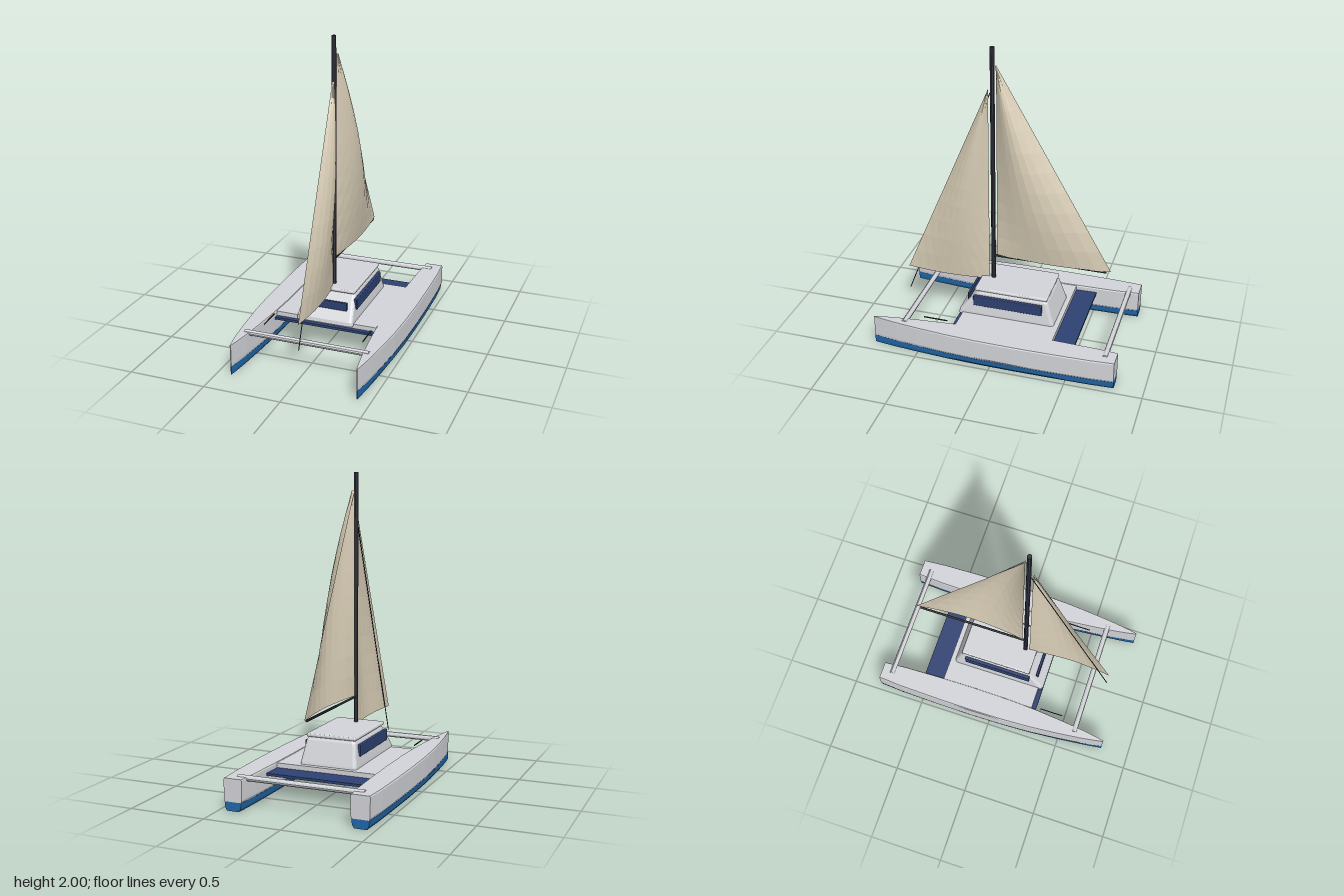
import * as THREE from 'three';
import { RoundedBoxGeometry } from 'three/addons/geometries/RoundedBoxGeometry.js';

const material = (name, color, extra = {}) => {
  const m = new THREE.MeshStandardMaterial({ color, ...extra });
  m.name = name;
  return m;
};

// Skins a list of closed rings (counter-clockwise seen along the loft) and caps both ends
function loft(rings) {
  const pos = [];
  const tri = (...pts) => pts.forEach((p) => pos.push(p.x, p.y, p.z));
  const n = rings[0].length;
  for (let i = 0; i < rings.length - 1; i++) {
    for (let j = 0; j < n; j++) {
      const k = (j + 1) % n;
      const a = rings[i][j], b = rings[i][k], c = rings[i + 1][k], d = rings[i + 1][j];
      tri(a, b, c);
      tri(a, c, d);
    }
  }
  const first = rings[0], last = rings[rings.length - 1];
  for (let j = 1; j < n - 1; j++) {
    tri(first[0], first[j + 1], first[j]);
    tri(last[0], last[j], last[j + 1]);
  }
  const g = new THREE.BufferGeometry();
  g.setAttribute('position', new THREE.Float32BufferAttribute(pos, 3));
  g.computeVertexNormals();
  return g;
}

// Hull plan: [z, half width]
const STATIONS = [[-0.81, 0.06], [-0.65, 0.072], [-0.4, 0.079], [-0.15, 0.082], [0.1, 0.078],
  [0.3, 0.068], [0.5, 0.049], [0.65, 0.031], [0.75, 0.015], [0.81, 0.003]];

// Section: [share of half width, y] from bottom to top, mirrored to a full ring
function hullGeometry(section) {
  return loft(STATIONS.map(([z, w]) => [
    ...section.map(([f, y]) => new THREE.Vector3(f * w, y, z)),
    ...section.slice().reverse().map(([f, y]) => new THREE.Vector3(-f * w, y, z)),
  ]));
}

// Horizontal rectangle with rounded corners
function roundedRing(hx, z0, z1, r, y) {
  const ring = [];
  const corners = [[hx - r, z0 + r], [-hx + r, z0 + r], [-hx + r, z1 - r], [hx - r, z1 - r]];
  corners.forEach(([cx, cz], q) => {
    for (let s = 0; s <= 3; s++) {
      const a = (q + s / 3) * Math.PI / 2;
      ring.push(new THREE.Vector3(cx + r * Math.cos(a), y, cz - r * Math.sin(a)));
    }
  });
  return ring;
}

// Triangular sail from the mast side to its outer corner, bellied towards +x
function sailGeometry(zMast, zOuter, yFoot, yHead, belly) {
  const g = new THREE.PlaneGeometry(1, 1, 8, 10);
  const p = g.attributes.position;
  for (let i = 0; i < p.count; i++) {
    const u = p.getX(i) + 0.5, v = p.getY(i) + 0.5;
    const x = belly * Math.sin(Math.PI * u) * Math.sin(Math.PI * (0.11 + 0.82 * v));
    p.setXYZ(i, x, yFoot + (yHead - yFoot) * v, zMast + (zOuter - zMast) * u * (1 - v));
  }
  g.computeVertexNormals();
  return g;
}

// Straight round bar between two points
function bar(a, b, radius, sides) {
  const from = new THREE.Vector3(...a), to = new THREE.Vector3(...b);
  const dir = to.clone().sub(from);
  const g = new THREE.CylinderGeometry(radius, radius, dir.length(), sides);
  g.applyQuaternion(new THREE.Quaternion().setFromUnitVectors(new THREE.Vector3(0, 1, 0), dir.normalize()));
  const mid = from.add(to).multiplyScalar(0.5);
  return g.translate(mid.x, mid.y, mid.z);
}

export function createModel() {
  const boat = new THREE.Group();
  boat.name = 'catamaran';

  const white = material('hullWhite', 0xd3d4d9, { flatShading: true });
  const blue = material('bottomBlue', 0x2267a8, { flatShading: true });
  const navy = material('navy', 0x2d4172, { flatShading: true });
  const spar = material('sparGrey', 0x34353f, { flatShading: true });
  const cloth = material('sailCloth', 0xd8cdb6, { flatShading: true, side: THREE.DoubleSide });

  const add = (name, geometry, mat, x = 0, y = 0, z = 0) => {
    const m = new THREE.Mesh(geometry, mat);
    m.name = name;
    m.position.set(x, y, z);
    boat.add(m);
    return m;
  };

  // Twin hulls with painted bottoms, deck-side rails and side windows
  const topsides = hullGeometry([[0.9, 0.056], [1, 0.07], [1, 0.192], [0.94, 0.2]]);
  const bottom = hullGeometry([[0.66, 0], [0.86, 0.02], [0.92, 0.056]]);
  for (const [side, s] of [['left', 1], ['right', -1]]) {
    add(side + 'Hull', topsides, white, s * 0.41);
    add(side + 'HullBottom', bottom, blue, s * 0.41);
    add(side + 'Rail', new THREE.BoxGeometry(0.005, 0.007, 0.16), spar, s * 0.33, 0.205, 0.41);
    add(side + 'Window', new RoundedBoxGeometry(0.022, 0.075, 0.465, 2, 0.006), navy, s * 0.177, 0.298, -0.035);
  }

  // Bridge deck over a longer navy platform
  add('platform', new THREE.BoxGeometry(0.68, 0.016, 0.82), navy, 0, 0.158, -0.11);
  add('deck', new THREE.BoxGeometry(0.68, 0.04, 0.65), white, 0, 0.176, -0.055);

  // Cross beams
  for (const [name, z] of [['frontBeam', 0.6], ['rearBeam', -0.738]]) {
    add(name, bar([-0.41, 0.192, z], [0.41, 0.192, z], 0.018, 10), white);
  }

  // Cabin with sloping front, roof and windscreen
  add('cabin', loft([
    roundedRing(0.19, -0.35, 0.3, 0.02, 0.185),
    roundedRing(0.188, -0.345, 0.295, 0.02, 0.21),
    roundedRing(0.167, -0.302, 0.183, 0.02, 0.345),
    roundedRing(0.155, -0.29, 0.165, 0.02, 0.365),
  ]), white);
  add('roof', new RoundedBoxGeometry(0.335, 0.024, 0.49, 2, 0.01), white, 0, 0.373, -0.052);
  add('windscreen', new RoundedBoxGeometry(0.275, 0.056, 0.016, 2, 0.005), navy, 0, 0.292, 0.242);

  // Mast, boom and forestay
  add('mast', bar([0, 0.37, 0.112], [0, 2, 0.112], 0.015, 8), spar);
  add('boom', bar([0, 0.553, 0.11], [0, 0.553, -0.645], 0.008, 8), spar);
  add('forestay', bar([0, 0.195, 0.712], [0, 1.7, 0.128], 0.003, 6), spar);

  // Sails
  add('mainsail', sailGeometry(0.087, -0.675, 0.56, 1.885, 0.09), cloth);
  add('jib', sailGeometry(0.14, 0.715, 0.365, 1.725, 0.064), cloth);

  return boat;
}
